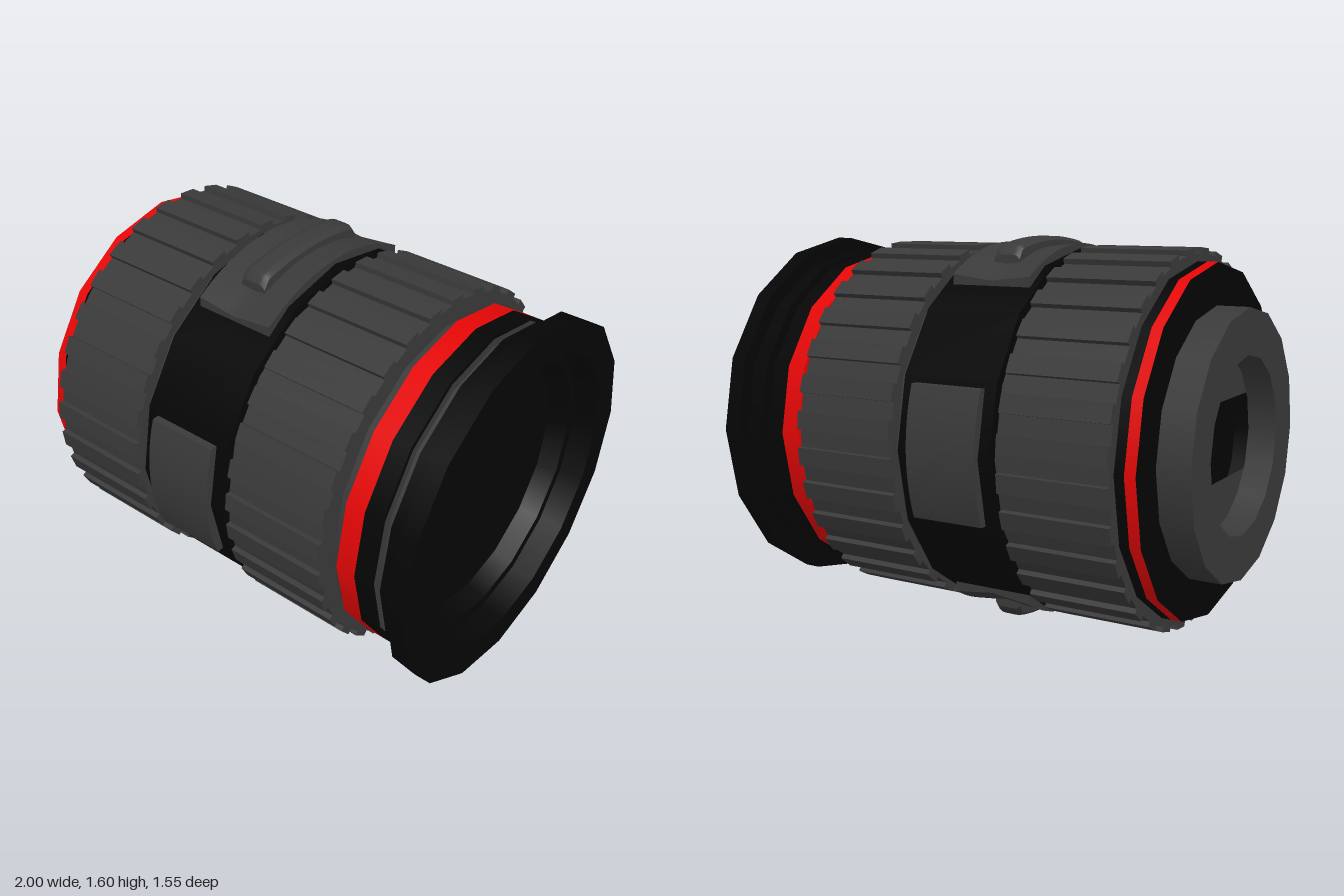
import * as THREE from 'three';
import { mergeGeometries } from 'three/addons/utils/BufferGeometryUtils.js';

const SIDES = 16;
const AXIS_Y = 0.8; // height of the barrel axis

const mat = (name, color) => {
  const m = new THREE.MeshStandardMaterial({ color });
  m.name = name;
  return m;
};

// Turned part along x from [x, radius] points; each segment is its own strip so edges stay sharp
function turned(points) {
  const strips = [];
  for (let i = 0; i < points.length - 1; i++) {
    const pair = [points[i], points[i + 1]].map(([x, r]) => new THREE.Vector2(r, x));
    strips.push(new THREE.LatheGeometry(pair, SIDES));
  }
  return mergeGeometries(strips).rotateZ(-Math.PI / 2);
}

const drum = (x0, x1, r) => turned([[x0, 0], [x0, r], [x1, r], [x1, 0]]);

// Toothed sleeve: flat ribs separated by equally wide grooves
function ribbedSleeve(x0, x1, rBase, rRib, count) {
  const shape = new THREE.Shape();
  const step = (Math.PI * 2) / count;
  for (let i = 0; i < count; i++) {
    [[-0.25, rBase], [-0.25, rRib], [0.25, rRib], [0.25, rBase]].forEach(([t, r], k) => {
      const a = (i + 0.5 + t) * step;
      const p = [r * Math.cos(a), r * Math.sin(a)];
      if (i === 0 && k === 0) shape.moveTo(...p);
      else shape.lineTo(...p);
    });
  }
  shape.closePath();
  return new THREE.ExtrudeGeometry(shape, { depth: x1 - x0, bevelEnabled: false })
    .rotateY(Math.PI / 2).translate(x0, 0, 0);
}

// Box bent over the barrel with upright ends; outer(u, v) gives its radius for u, v in -1..1
function bentPad(x0, x1, halfWidth, inner, outer) {
  const g = new THREE.BoxGeometry(2, 2, 2, 8, 1, 24);
  const p = g.attributes.position;
  for (let i = 0; i < p.count; i++) {
    const u = p.getX(i), v = p.getZ(i);
    const r = p.getY(i) > 0 ? outer(u, v) : inner;
    const z = v * halfWidth;
    p.setXYZ(i, (x0 + x1) / 2 + (u * (x1 - x0)) / 2, Math.sqrt(r * r - z * z), z);
  }
  g.computeVertexNormals();
  return g;
}

export function createModel() {
  const gray = mat('charcoal gray', 0x3a3a3a);
  const black = mat('matte black', 0x050505);
  const red = mat('accent red', 0xe60606);

  const barrel = new THREE.Group();
  barrel.name = 'barrel';
  barrel.position.y = AXIS_Y;
  const add = (name, geometry, material, parent = barrel) => {
    const mesh = new THREE.Mesh(geometry, material);
    mesh.name = name;
    parent.add(mesh);
    return mesh;
  };

  // Rear mount with a bore, black back plate around it
  add('rearMount', turned([[-0.88, 0.36], [-1, 0.36], [-1, 0.545], [-0.86, 0.545]]), gray);
  add('rearBore', turned([[-0.82, 0.36], [-0.88, 0.36]]), black);
  add('backPlate', turned([[-0.865, 0.54], [-0.865, 0.713]]), black);
  // Baffles above and below the rear slot
  const cut = Math.asin(0.16 / 0.36);
  for (const s of [1, -1]) {
    const shape = new THREE.Shape();
    shape.absarc(0, 0, 0.362, cut, Math.PI - cut, false);
    shape.closePath();
    add(s > 0 ? 'upperBaffle' : 'lowerBaffle',
      new THREE.ShapeGeometry(shape, 8).rotateZ(s > 0 ? 0 : Math.PI)
        .rotateY(-Math.PI / 2).translate(-0.88, 0, 0), gray);
  }

  // Plain rings from rear to front
  add('rearRedRing', turned([[-0.865, 0.713], [-0.82, 0.713]]), red);
  add('rearCollar', drum(-0.82, -0.775, 0.713), black);
  add('rearSpacer', drum(-0.33, -0.285, 0.713), gray);
  add('controlBand', drum(-0.29, 0.125, 0.752), black);
  add('middleSpacer', drum(0.12, 0.165, 0.713), gray);
  add('frontSpacer', drum(0.61, 0.665, 0.672), gray);
  add('frontRedRing', drum(0.66, 0.743, 0.713), red);
  add('frontCollar', drum(0.743, 0.82, 0.713), black);
  add('neckRing', turned([[0.823, 0.7], [0.823, 0.665], [0.862, 0.665]]), gray);

  // Ribbed grips
  add('rearGrip', ribbedSleeve(-0.78, -0.325, 0.745, 0.767, 32), gray);
  add('frontGrip', ribbedSleeve(0.16, 0.615, 0.745, 0.767, 32), gray);

  // Stepped front rim and recessed glass
  add('frontRim', turned([
    [0.86, 0.66], [0.86, 0.715], [0.93, 0.715], [0.93, 0.775], [1, 0.775],
    [1, 0.64], [0.9, 0.625], [0.9, 0.58], [0.81, 0.545],
  ]), black);
  add('frontGlass', turned([[0.815, 0.548], [0.815, 0]]), gray);

  // Side pads, front and back
  for (const s of [1, -1]) {
    const pad = add(s > 0 ? 'frontPad' : 'backPad',
      bentPad(-0.24, 0.07, 0.263, 0.72, () => 0.775), gray);
    pad.rotation.x = (s * Math.PI) / 2;
  }

  // Saddle pads with a raised slider, top and bottom
  for (const s of [1, -1]) {
    const control = new THREE.Group();
    control.name = s > 0 ? 'topControl' : 'bottomControl';
    control.rotation.x = s > 0 ? 0 : Math.PI;
    barrel.add(control);
    add('saddlePad', bentPad(-0.26, 0.092, 0.405, 0.738,
      (u) => 0.755 + 0.018 * Math.abs(u)), gray, control);
    add('slider', bentPad(-0.145, -0.028, 0.287, 0.73,
      (u, v) => 0.8 - 0.015 * u ** 6 + 0.018 * v ** 2 - 0.03 * v ** 30), gray, control);
  }

  const model = new THREE.Group();
  model.name = 'lens';
  model.add(barrel);
  return model;
}
